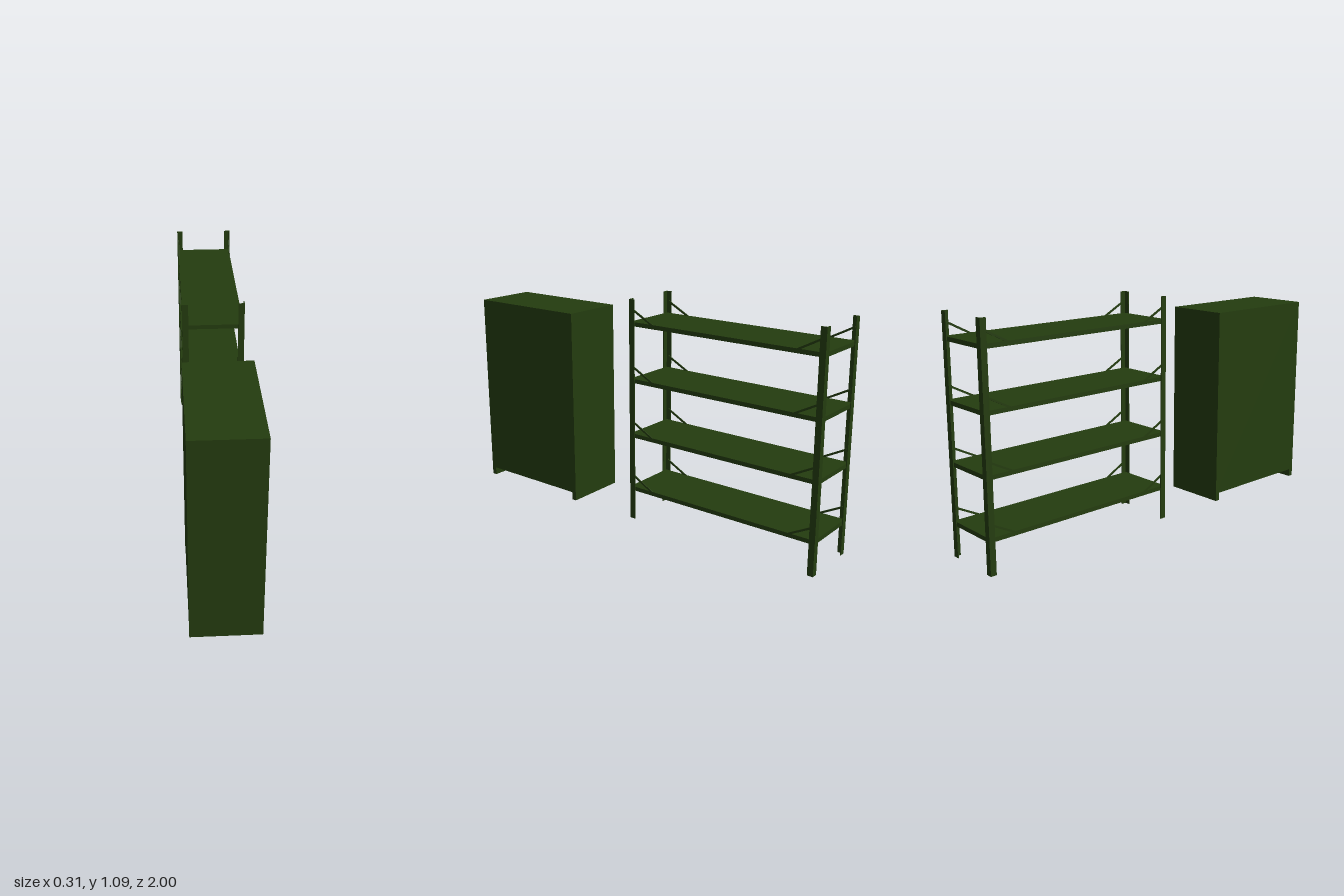
import * as THREE from 'three';

export function createModel() {
  const model = new THREE.Group();
  const green = new THREE.MeshStandardMaterial({ color: 0x243c0f });
  green.name = 'olive green paint';

  const add = (parent, name, geometry, x, y, z) => {
    const mesh = new THREE.Mesh(geometry, green);
    mesh.name = name;
    mesh.position.set(x, y, z);
    parent.add(mesh);
    return mesh;
  };
  const box = (parent, name, w, h, d, x, y, z) =>
    add(parent, name, new THREE.BoxGeometry(w, h, d), x, y, z);

  // Cabinet: closed body on two full-width foot panels
  const cabinet = new THREE.Group();
  cabinet.name = 'cabinet';
  model.add(cabinet);
  const W = 0.314, D = 0.63, base = 0.04, top = 0.982, cz = 0.685, door = 0.014;
  const midY = (base + top) / 2;
  box(cabinet, 'cabinetBody', W - door, top - base, D, -door / 2, midY, cz);
  for (const s of [-1, 1])
    box(cabinet, 'footPanel', W, base, 0.025, 0, base / 2, cz + s * (D / 2 - 0.0125));

  // Door panel on the +x side, pierced by two round handle recesses
  const handleY = 0.512, handleGap = 0.042, r = 0.017;
  const panel = new THREE.Shape([
    new THREE.Vector2(-D / 2, base - midY), new THREE.Vector2(D / 2, base - midY),
    new THREE.Vector2(D / 2, top - midY), new THREE.Vector2(-D / 2, top - midY),
  ]);
  panel.setFromPoints([[-1, -1], [1, -1], [1, 1], [-1, 1], [-1, -1]].map(
    ([a, b]) => new THREE.Vector2(a * D / 2, b * (top - base) / 2)));
  for (const s of [-1, 1]) {
    const hole = new THREE.Path();
    hole.absarc(s * handleGap, handleY - midY, r, 0, Math.PI * 2, true);
    panel.holes.push(hole);
  }
  const doorGeometry = new THREE.ExtrudeGeometry(panel, { depth: door, bevelEnabled: false, curveSegments: 8 });
  doorGeometry.rotateY(Math.PI / 2);
  add(cabinet, 'doorPanel', doorGeometry, W / 2 - door, midY, cz);

  // Grip bar inside each recess
  for (const s of [-1, 1])
    box(cabinet, 'doorHandle', door, 0.034, 0.009, W / 2 - door / 2, handleY, cz + s * handleGap);

  // Shelving rack: four L-section posts, four boards, corner braces
  const rack = new THREE.Group();
  rack.name = 'shelvingRack';
  rack.position.z = -0.4935;
  model.add(rack);
  const hx = 0.145, hz = 0.5065, postH = 1.093, flange = 0.029, t = 0.004;
  for (const sx of [-1, 1]) for (const sz of [-1, 1]) {
    box(rack, 'postSideFlange', t, postH, flange, sx * (hx - t / 2), postH / 2, sz * (hz - flange / 2));
    box(rack, 'postEndFlange', flange, postH, t, sx * (hx - flange / 2), postH / 2, sz * (hz - t / 2));
  }
  const rise = 0.062, run = 0.118;
  for (let i = 0; i < 4; i++) {
    const y = 0.168 + i * 0.273;
    box(rack, 'shelfBoard', 2 * (hx - t), 0.02, 2 * (hz - t), 0, y - 0.01, 0);
    for (const sx of [-1, 1]) for (const sz of [-1, 1]) {
      const brace = box(rack, 'cornerBrace', 0.005, 0.009, Math.hypot(rise, run),
        sx * (hx - t - 0.0025), y + rise / 2 - 0.004, sz * (hz - 0.015 - run / 2));
      brace.rotation.x = -sz * Math.atan2(rise, run);
    }
  }
  return model;
}
